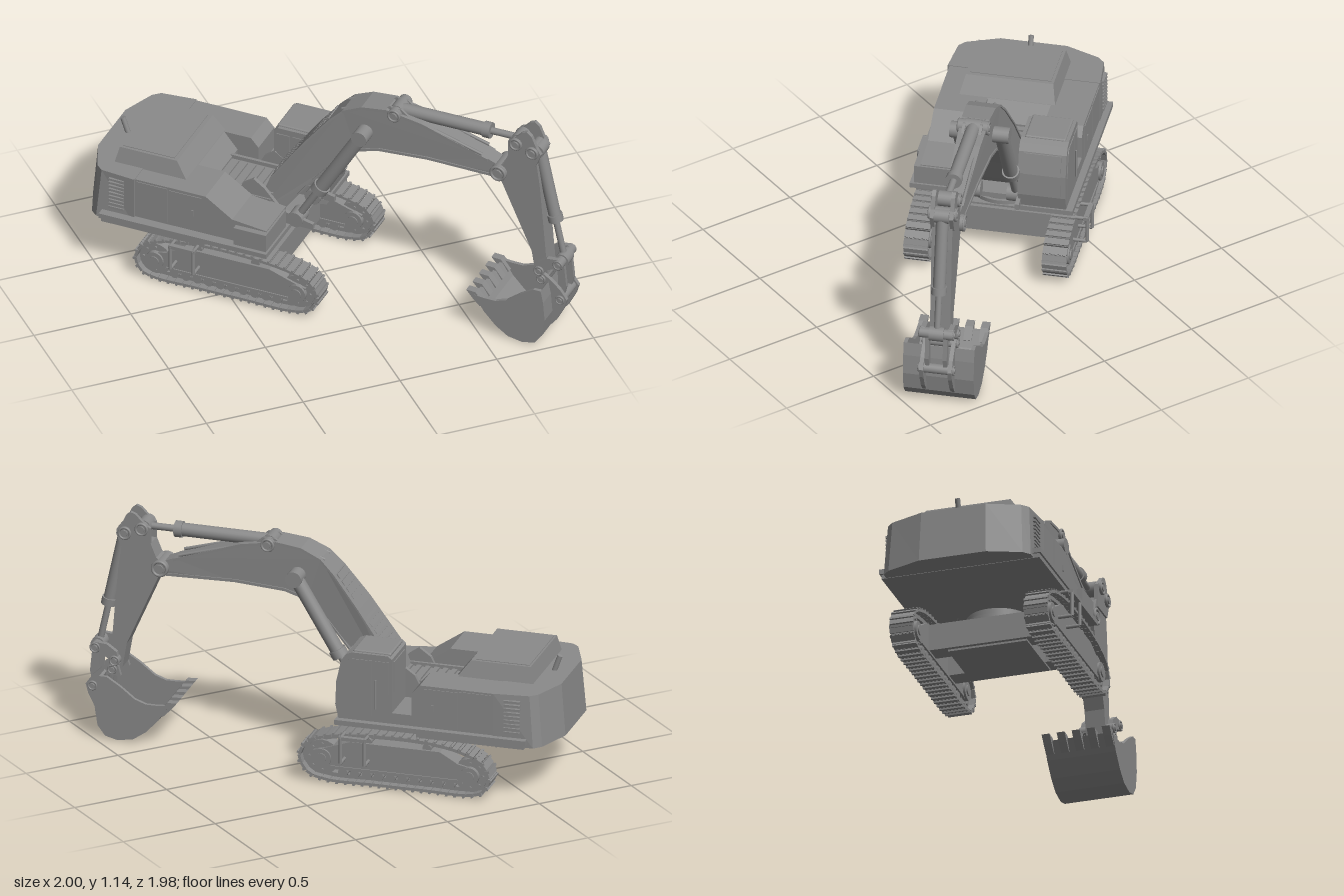
import * as THREE from 'three';
import { RoundedBoxGeometry } from 'three/addons/geometries/RoundedBoxGeometry.js';

const mat = new THREE.MeshStandardMaterial({ color: 0x8a8a8a, flatShading: true });
const smooth = new THREE.MeshStandardMaterial({ color: 0x8a8a8a });
const D = Math.SQRT2; // arm profiles are drawn on the diagonal, so they stretch by this
const V = (x, y, z) => new THREE.Vector3(x, y, z);

// Working frame: x forward, y up, z to the machine's right; turned 45 degrees at the end.
export function createModel() {
  const root = new THREE.Group();
  root.name = 'excavator';
  const machine = new THREE.Group();
  machine.name = 'machine';
  machine.rotation.y = -Math.PI / 4;
  root.add(machine);

  const add = (parent, name, geo, m = mat) => {
    const mesh = new THREE.Mesh(geo, m);
    mesh.name = name;
    parent.add(mesh);
    return mesh;
  };
  const group = (name, parent = machine) => {
    const g = new THREE.Group();
    g.name = name;
    parent.add(g);
    return g;
  };
  // box given by its limits
  const box = (p, name, x0, x1, y0, y1, z0, z1) =>
    add(p, name, new THREE.BoxGeometry(x1 - x0, y1 - y0, z1 - z0).translate((x0 + x1) / 2, (y0 + y1) / 2, (z0 + z1) / 2));
  // side profile extruded across the machine
  const slabGeo = (pts, z0, z1, k = 1) => {
    const shape = new THREE.Shape(pts.map(([x, y]) => new THREE.Vector2(x * k, y)));
    return new THREE.ExtrudeGeometry(shape, { depth: z1 - z0, bevelEnabled: false }).translate(0, 0, z0);
  };
  const slab = (p, name, pts, z0, z1, k) => add(p, name, slabGeo(pts, z0, z1, k));
  // plan outline extruded upward
  const plan = (p, name, pts, y0, y1) => {
    const shape = new THREE.Shape(pts.map(([x, z]) => new THREE.Vector2(x, z)));
    return add(p, name, new THREE.ExtrudeGeometry(shape, { depth: y1 - y0, bevelEnabled: false })
      .rotateX(Math.PI / 2).translate(0, y1, 0));
  };
  // move every vertex by a rule
  const reshape = (geo, rule) => {
    const p = geo.attributes.position;
    for (let i = 0; i < p.count; i++) p.setXYZ(i, ...rule(p.getX(i), p.getY(i), p.getZ(i)));
    geo.computeVertexNormals();
    return geo;
  };
  const rod = (p, name, a, b, r, n = 20) => {
    const d = b.clone().sub(a);
    const mesh = add(p, name, new THREE.CylinderGeometry(r, r, d.length(), n), smooth);
    mesh.position.copy(a).addScaledVector(d, 0.5);
    mesh.quaternion.setFromUnitVectors(V(0, 1, 0), d.normalize());
    return mesh;
  };
  const pin = (p, name, x, y, z0, z1, r) => rod(p, name, V(x, y, z0), V(x, y, z1), r);
  // pivot with a rim ring and a centre cap at both ends
  const joint = (p, name, x, y, half, r) => {
    const g = group(name, p);
    pin(g, 'boss', x, y, -half, half, r);
    pin(g, 'cap', x, y, -half - 0.008, half + 0.008, r * 0.5);
    for (const z of [-half, half])
      add(g, 'rim', new THREE.TorusGeometry(r * 0.85, r * 0.18, 8, 24).translate(x, y, z), smooth);
  };
  // hydraulic cylinder: barrel from a, rod to b, with collars and eyes
  const ram = (name, parent, a, b, r, f) => {
    const g = group(name, parent), at = t => a.clone().lerp(b, t), e = r * 1.15;
    rod(g, 'barrel', a, at(f), r);
    rod(g, 'collar', at(f - 0.06), at(f), r * 1.22);
    rod(g, 'pistonRod', at(f), b, r * 0.52);
    for (const q of [a, b]) pin(g, 'eye', q.x, q.y, q.z - e, q.z + e, e);
  };

  // ---- tracks ----
  const path = new THREE.CatmullRomCurve3([[-0.72, 0.022], [-0.5, 0.02], [-0.25, 0.02], [0, 0.022], [0.09, 0.05], [0.132, 0.125],
    [0.095, 0.2], [0, 0.24], [-0.2, 0.266], [-0.5, 0.266], [-0.68, 0.235], [-0.78, 0.185], [-0.815, 0.11], [-0.785, 0.045]]
    .map(([x, y]) => V(x, y, 0)), true);
  for (const s of [-1, 1]) {
    const g = group(s > 0 ? 'rightTrack' : 'leftTrack'), N = 50, z = s * 0.34;
    for (let i = 0; i < N; i++) {
      const shoe = group('trackShoe', g), t = path.getTangentAt(i / N);
      shoe.position.copy(path.getPointAt(i / N)).setZ(z);
      shoe.rotation.z = Math.atan2(t.y, t.x);
      box(shoe, 'plate', -0.02, 0.02, -0.008, 0.006, -0.06, 0.06);
      box(shoe, 'grouser', -0.017, -0.006, -0.016, -0.008, -0.06, 0.06);
      box(shoe, 'chainLink', -0.021, 0.021, 0.006, 0.026, -0.022, 0.022);
    }
    for (const [x, y, r] of [[-0.72, 0.115, 0.085], [0.025, 0.125, 0.088]]) {
      pin(g, 'endWheel', x, y, z - 0.035, z + 0.035, r);
      pin(g, 'wheelHub', x, y, z - 0.058, z + 0.058, r * 0.55);
      pin(g, 'hubCap', x, y, z - 0.064, z + 0.064, r * 0.3);
      for (let i = 0; i < 8; i++) {
        const a = i * Math.PI / 4;
        pin(g, 'hubBolt', x + Math.cos(a) * r * 0.75, y + Math.sin(a) * r * 0.75, z - 0.042, z + 0.042, 0.007);
      }
    }
    for (let i = 0; i < 10; i++) pin(g, 'roller', -0.62 + i * 0.06, 0.058, z - 0.045, z + 0.045, 0.024);
    for (const x of [-0.5, -0.2]) pin(g, 'carrierRoller', x, 0.228, z - 0.035, z + 0.035, 0.022);
    slab(g, 'sideFrame', [[-0.74, 0.078], [0.04, 0.078], [0.07, 0.16], [0, 0.18], [-0.12, 0.222], [-0.57, 0.222], [-0.66, 0.17], [-0.75, 0.15]], z - 0.047, z + 0.047);
    box(g, 'frameRib', -0.66, -0.02, 0.075, 0.09, z - 0.053, z + 0.053);
    // step bracket on the outer side
    const cx = s > 0 ? -0.55 : -0.15, step = group('step', g);
    for (const dx of [-0.06, 0.06]) {
      for (const y of [0.135, 0.265]) rod(step, 'stepArm', V(cx + dx, y, s * 0.38), V(cx + dx, y, s * 0.455), 0.009, 8);
      rod(step, 'stepPost', V(cx + dx, 0.135, s * 0.455), V(cx + dx, 0.265, s * 0.455), 0.009, 8);
    }
    box(step, 'stepTread', cx - 0.069, cx + 0.069, 0.255, 0.272, s * 0.45 - 0.012, s * 0.45 + 0.012);
  }

  // ---- chassis and turntable ----
  const under = group('undercarriage');
  box(under, 'centreFrame', -0.53, -0.17, 0.075, 0.23, -0.2, 0.2);
  for (const x of [-0.55, -0.25]) box(under, 'crossBeam', x, x + 0.1, 0.085, 0.22, -0.31, 0.31);
  for (const [r, y0, y1] of [[0.175, 0.22, 0.25], [0.16, 0.25, 0.306], [0.2, 0.283, 0.3]])
    rod(under, 'turntable', V(-0.35, y0, 0), V(-0.35, y1, 0), r, 40);

  // ---- upper body ----
  const body = group('upperBody');
  plan(body, 'deck', [[-1, -0.393], [-0.04, -0.393], [-0.04, -0.12], [-0.12, -0.1], [-0.12, 0.424], [-1, 0.424]], 0.305, 0.33);
  box(body, 'deckSkirt', -0.99, -0.45, 0.283, 0.306, -0.385, 0.415);
  // counterweight leans in toward the top
  const weight = plan(body, 'counterweight', [[-0.83, -0.365], [-1.03, -0.36], [-1.065, -0.325], [-1.13, -0.15], [-1.13, 0.19], [-1.065, 0.355], [-1.03, 0.385], [-0.83, 0.385]], 0.285, 0.548);
  reshape(weight.geometry, (x, y, z) => y > 0.4 && x < -0.9 ? [x + 0.022, y, z * 0.96] : [x, y, z]);
  slab(body, 'engineHousing', [[-0.85, 0.32], [-0.53, 0.32], [-0.53, 0.46], [-0.6, 0.545], [-0.85, 0.545]], -0.18, 0.2);
  slab(body, 'leftHousing', [[-0.85, 0.32], [-0.42, 0.32], [-0.42, 0.5], [-0.46, 0.545], [-0.85, 0.545]], -0.36, -0.17);
  slab(body, 'rightHousing', [[-0.85, 0.32], [-0.14, 0.32], [-0.14, 0.43], [-0.32, 0.45], [-0.46, 0.545], [-0.85, 0.545]], 0.14, 0.375);
  // hood sides flare out toward the base
  const hood = slab(body, 'engineHood', [[-0.98, 0.54], [-0.6, 0.54], [-0.66, 0.627], [-0.96, 0.627]], -0.17, 0.26);
  reshape(hood.geometry, (x, y, z) => [x, y, y < 0.6 ? 0.045 + (z - 0.045) * 1.1 : z]);
  box(body, 'hoodPanel', -0.95, -0.68, 0.625, 0.63, -0.155, 0.245);
  box(body, 'batteryBox', -0.43, -0.32, 0.32, 0.385, -0.36, -0.12);
  box(body, 'centreBay', -0.55, -0.22, 0.32, 0.45, -0.12, 0.145);
  for (let i = 0; i < 6; i++) box(body, 'baySlat', -0.51 + i * 0.045, -0.485 + i * 0.045, 0.45, 0.46, -0.09, 0.1);
  for (const z of [-0.112, 0.112]) box(body, 'bayRail', -0.55, -0.22, 0.45, 0.47, z - 0.008, z + 0.008);
  rod(body, 'exhaust', V(-1.02, 0.54, 0.02), V(-1.05, 0.625, 0.02), 0.013);
  for (const z of [-0.36, 0.375]) {
    const side = group('sidePanels', body);
    for (let i = 0; i < 9; i++) box(side, 'ventSlat', -0.965, -0.885, 0.35 + i * 0.02, 0.361 + i * 0.02, z - 0.012, z + 0.012);
    box(side, 'accessDoor', -0.82, -0.66, 0.34, 0.535, z - 0.004, z + 0.004);
    box(side, 'accessDoor', -0.65, -0.48, 0.34, 0.53, z - 0.004, z + 0.004);
    box(side, 'doorHandle', -0.53, -0.52, 0.42, 0.45, z - 0.01, z + 0.01);
  }
  box(body, 'toolBox', -0.3, -0.13, 0.325, 0.425, 0.16, 0.405);

  // ---- cab ----
  const cab = group('cab');
  const cabSide = [[-0.32, 0.33], [-0.05, 0.33], [-0.035, 0.4], [-0.04, 0.52], [-0.065, 0.63], [-0.09, 0.665], [-0.12, 0.676], [-0.3, 0.676], [-0.32, 0.66]];
  slab(cab, 'cabShell', cabSide, -0.36, -0.125);
  add(cab, 'cabRoof', new RoundedBoxGeometry(0.19, 0.018, 0.2, 2, 0.008).translate(-0.215, 0.676, -0.243));
  const doorPane = [[-0.22, 0.36], [-0.07, 0.36], [-0.065, 0.5], [-0.09, 0.62], [-0.11, 0.645], [-0.22, 0.645]];
  const rearPane = [[-0.305, 0.48], [-0.235, 0.48], [-0.235, 0.645], [-0.305, 0.645]];
  for (const z of [-0.361, -0.124]) for (const pts of [doorPane, rearPane]) slab(cab, 'sideWindow', pts, z - 0.003, z + 0.003);
  slab(cab, 'windscreen', [[-0.04, 0.41], [-0.03, 0.41], [-0.035, 0.52], [-0.058, 0.625], [-0.07, 0.625]], -0.335, -0.15);
  box(cab, 'rearWindow', -0.325, -0.315, 0.48, 0.64, -0.33, -0.155);
  rod(cab, 'grabRail', V(-0.24, 0.4, -0.37), V(-0.24, 0.55, -0.37), 0.005, 8);

  // ---- boom ----
  const boom = group('boom');
  for (const z of [-0.128, 0.128])
    slab(boom, 'footBracket', [[-0.32, 0.33], [-0.26, 0.5], [-0.22, 0.54], [-0.18, 0.5], [-0.12, 0.4], [0, 0.36], [0.0, 0.33]], z - 0.01, z + 0.01, D);
  joint(boom, 'footPin', -0.16 * D, 0.375, 0.14, 0.034);
  // wide at the foot, narrowing quickly to the bend and then slowly to the tip
  const { lerp, clamp } = THREE.MathUtils;
  const halfWidth = x => x < 0.1 * D ? lerp(0.112, 0.07, clamp((x / D + 0.13) / 0.23, 0, 1)) : lerp(0.07, 0.042, clamp((x / D - 0.1) / 0.55, 0, 1));
  const top = [[-0.2, 0.43], [-0.165, 0.56], [-0.05, 0.79], [0.04, 0.95], [0.09, 1.02], [0.16, 1.065], [0.25, 1.08], [0.38, 1.045], [0.62, 0.925]];
  const bottom = [[0.68, 0.89], [0.69, 0.86], [0.65, 0.832], [0.4, 0.845], [0.22, 0.832], [0.14, 0.8], [0.06, 0.7], [-0.02, 0.57], [-0.115, 0.39], [-0.15, 0.335], [-0.195, 0.36]];
  const taper = (geo, extra) => reshape(geo, (x, y, z) => [x, y, Math.sign(z) * (halfWidth(x) + extra)]);
  add(boom, 'boomBeam', taper(slabGeo([...top, ...bottom], -1, 1, D), 0));
  // flanges along both edges
  const band = (pts, dy) => [...pts, ...pts.map(([x, y]) => [x, y + dy]).reverse()];
  add(boom, 'upperFlange', taper(slabGeo(band(top.slice(1), -0.014), -1, 1, D), 0.006));
  add(boom, 'lowerFlange', taper(slabGeo(band(bottom.slice(2, 9), 0.014), -1, 1, D), 0.006));
  for (let i = 0; i < 12; i++) { // grip treads on the back of the boom
    const t = i / 11, w = lerp(0.085, 0.06, t);
    const tread = box(boom, 'gripTread', -0.012, 0.012, -0.004, 0.004, -w, w);
    tread.position.set(lerp(-0.155, 0.03, t) * D, lerp(0.58, 0.935, t), 0);
    tread.rotation.z = 0.93;
  }
  joint(boom, 'liftPin', 0.172 * D, 0.925, 0.13, 0.036);
  joint(boom, 'stickPin', 0.665 * D, 0.872, 0.068, 0.042);
  for (const z of [-0.105, 0.105]) ram('liftCylinder', boom, V(0.172 * D, 0.925, z), V(-0.065 * D, 0.365, z), 0.035, 0.68);
  for (const z of [-0.042, 0.042])
    slab(boom, 'ramLug', [[0.2, 1.04], [0.26, 1.09], [0.3, 1.09], [0.35, 1.03]], z - 0.007, z + 0.007, D);
  joint(boom, 'ramLugPin', 0.28 * D, 1.06, 0.073, 0.034);
  ram('stickCylinder', boom, V(0.28 * D, 1.06, 0), V(0.73 * D, 1.064, 0), 0.033, 0.76);
  for (const s of [-1, 1]) { // hose runs
    const hose = new THREE.CatmullRomCurve3([[0.08, 0.99], [0.2, 1.04], [0.35, 1.02], [0.6, 0.925]].map(([x, y]) => V(x * D, y + 0.02, s * 0.045)));
    add(boom, 'hose', new THREE.TubeGeometry(hose, 24, 0.008, 8), smooth);
  }

  // ---- stick ----
  const stick = group('stick');
  slab(stick, 'stickBeam', [[0.7, 0.99], [0.8, 1.0], [0.815, 0.85], [0.83, 0.6], [0.845, 0.34], [0.825, 0.315], [0.8, 0.335], [0.785, 0.46], [0.67, 0.83], [0.645, 0.85], [0.645, 0.89], [0.68, 0.92]], -0.05, 0.05, D);
  for (const z of [-0.048, 0.048])
    slab(stick, 'stickCheek', [[0.7, 0.95], [0.8, 0.95], [0.822, 1.03], [0.805, 1.065], [0.787, 1.125], [0.77, 1.145], [0.752, 1.135], [0.725, 1.095], [0.7, 1.07]], z - 0.01, z + 0.01, D);
  joint(stick, 'ramPin', 0.73 * D, 1.064, 0.066, 0.033);
  joint(stick, 'bucketRamPin', 0.79 * D, 1.035, 0.066, 0.033);
  ram('bucketCylinder', stick, V(0.8 * D, 1.03, 0), V(0.892 * D, 0.43, 0), 0.031, 0.66);
  for (const z of [-0.068, 0.068]) {
    slab(stick, 'rockerArm', [[0.805, 0.36], [0.82, 0.345], [0.84, 0.38], [0.87, 0.4], [0.9, 0.41], [0.908, 0.435], [0.89, 0.46], [0.85, 0.455], [0.815, 0.42]], z - 0.012, z + 0.012, D);
    slab(stick, 'bucketLink', [[0.88, 0.45], [0.905, 0.44], [0.915, 0.3], [0.905, 0.235], [0.885, 0.24], [0.885, 0.32]], z * 0.65 - 0.01, z * 0.65 + 0.01, D);
  }
  joint(stick, 'rockerPin', 0.822 * D, 0.375, 0.085, 0.026);
  joint(stick, 'linkPin', 0.892 * D, 0.432, 0.082, 0.026);

  // ---- bucket ----
  const bucket = group('bucket');
  const outer = [[0.61, 0.21], [0.645, 0.13], [0.69, 0.062], [0.735, 0.018], [0.79, 0.004], [0.835, 0.02], [0.862, 0.07], [0.872, 0.16], [0.866, 0.26], [0.857, 0.325]];
  const inner = outer.map(([x, y]) => [x + (0.76 - x) * 0.07, y + (0.2 - y) * 0.07]);
  slab(bucket, 'bucketShell', [...outer, ...inner.reverse()], -0.165, 0.165, D);
  for (const z of [-0.165, 0.165])
    slab(bucket, 'bucketSide', [...outer, [0.83, 0.325], [0.78, 0.28], [0.73, 0.225], [0.69, 0.205], [0.65, 0.205]], z - 0.009, z + 0.009, D);
  for (let i = 0; i < 5; i++) {
    const z = -0.152 + i * 0.076;
    slab(bucket, 'tooth', [[0.58, 0.228], [0.615, 0.225], [0.645, 0.17], [0.63, 0.15], [0.602, 0.19]], z - 0.02, z + 0.02, D);
  }
  for (const z of [-0.07, 0.07])
    slab(bucket, 'bucketEar', [[0.8, 0.3], [0.81, 0.35], [0.84, 0.36], [0.87, 0.33], [0.9, 0.29], [0.925, 0.24], [0.915, 0.19], [0.89, 0.12], [0.868, 0.08], [0.86, 0.2], [0.85, 0.3]], z - 0.01, z + 0.01, D);
  joint(bucket, 'stickBucketPin', 0.83 * D, 0.33, 0.085, 0.024);
  joint(bucket, 'linkBucketPin', 0.9 * D, 0.235, 0.085, 0.024);

  return root;
}
